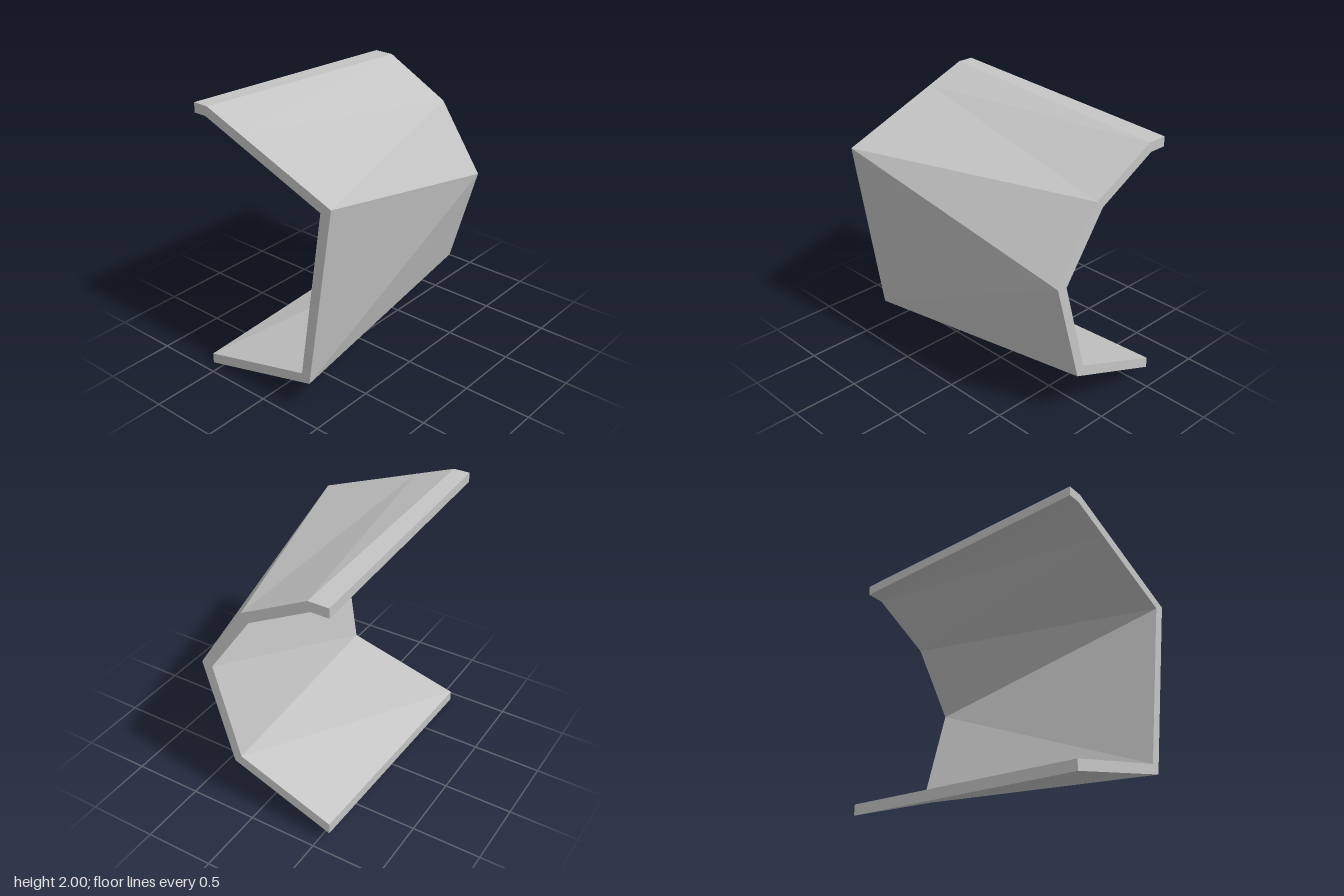
import * as THREE from 'three';

// Cross-sections of the folded shell, from the upper lip round to the lower lip
const frontOuter = [[-0.58, 2], [-0.46, 2], [-0.165, 1.886], [0.575, 1.6], [0.365, 0.255], [-0.58, 0.003]];
const frontInner = [[-0.58, 1.93], [-0.48, 1.93], [-0.19, 1.818], [0.49, 1.555], [0.3, 0.31], [-0.58, 0.08]];
const backOuter = [[-0.58, 1.9], [-0.43, 1.9], [0.06, 1.645], [0.4, 1.15], [0.18, 0.39], [-0.58, 0.095]];
const backInner = [[-0.58, 1.83], [-0.45, 1.83], [0.005, 1.59], [0.32, 1.135], [0.125, 0.45], [-0.58, 0.175]];
const DEPTH = 0.92;

// Builds a faceted mesh from quads; each is split along its second and fourth corners
function quadMesh(name, quads, material) {
  const points = quads.flatMap(([a, b, c, d]) => [a, b, d, b, c, d]);
  const geometry = new THREE.BufferGeometry().setFromPoints(points);
  geometry.computeVertexNormals();
  const mesh = new THREE.Mesh(geometry, material);
  mesh.name = name;
  return mesh;
}

export function createModel() {
  const group = new THREE.Group();
  group.name = 'foldedShell';
  const grey = new THREE.MeshStandardMaterial({ color: 0xc4c4c4 });
  grey.name = 'light grey';

  const at = (profile, z) => profile.map(([x, y]) => new THREE.Vector3(x, y, z));
  const fo = at(frontOuter, DEPTH), fi = at(frontInner, DEPTH);
  const bo = at(backOuter, -DEPTH), bi = at(backInner, -DEPTH);
  const last = fo.length - 1;

  // Outer skin, inner skin and the two end rims
  const outer = [], inner = [], frontRim = [], backRim = [];
  for (let i = 0; i < last; i++) {
    const j = i + 1;
    outer.push([fo[i], fo[j], bo[j], bo[i]]);
    inner.push([fi[i], bi[i], bi[j], fi[j]]);
    frontRim.push([fo[i], fi[i], fi[j], fo[j]]);
    backRim.push([bo[i], bo[j], bi[j], bi[i]]);
  }
  group.add(
    quadMesh('outerSkin', outer, grey),
    quadMesh('innerSkin', inner, grey),
    quadMesh('frontRim', frontRim, grey),
    quadMesh('backRim', backRim, grey),
    // Long edges of the open side
    quadMesh('upperLip', [[fo[0], bo[0], bi[0], fi[0]]], grey),
    quadMesh('lowerLip', [[fo[last], fi[last], bi[last], bo[last]]], grey),
  );
  return group;
}
